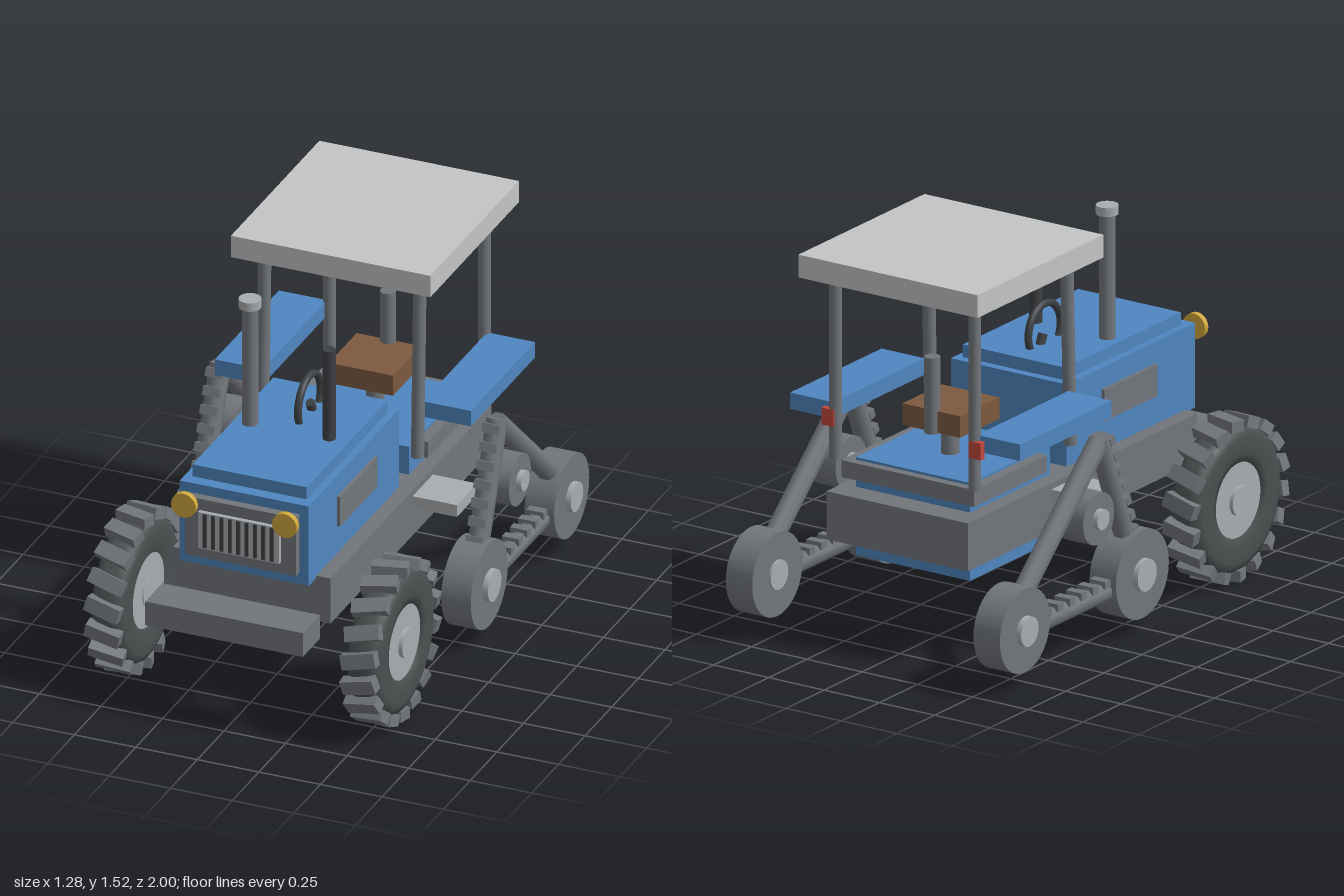
import * as THREE from 'three';

const mat = (name, color) => {
  const m = new THREE.MeshStandardMaterial({ color });
  m.name = name;
  return m;
};

export function createModel() {
  const root = new THREE.Group();
  root.name = 'tractor';
  const blue = mat('blue paint', 0x4f86c0);
  const grey = mat('chassis grey', 0x72767b);
  const light = mat('light grey', 0xc3c4c4);
  const metal = mat('bare metal', 0xa9adb0);
  const rubber = mat('tyre rubber', 0x4b4f50);
  const dark = mat('dark steel', 0x3d4043);
  const gold = mat('lamp gold', 0xcfa73c);
  const red = mat('tail lamp red', 0xc2483c);
  const brown = mat('seat brown', 0x7d5a3f);

  const add = (parent, name, geometry, material) => {
    const m = new THREE.Mesh(geometry, material);
    m.name = name;
    parent.add(m);
    return m;
  };
  // Box from its min and max on each axis
  const box = (name, material, [x0, x1], [y0, y1], [z0, z1], parent = root) => {
    const m = add(parent, name, new THREE.BoxGeometry(x1 - x0, y1 - y0, z1 - z0), material);
    m.position.set((x0 + x1) / 2, (y0 + y1) / 2, (z0 + z1) / 2);
    return m;
  };
  // Cylinder between two points
  const rod = (name, material, a, b, r, sides = 20, parent = root) => {
    const p = new THREE.Vector3(...a), q = new THREE.Vector3(...b);
    const d = q.clone().sub(p);
    const m = add(parent, name, new THREE.CylinderGeometry(r, r, d.length(), sides), material);
    m.position.copy(p).add(q).multiplyScalar(0.5);
    m.quaternion.setFromUnitVectors(new THREE.Vector3(0, 1, 0), d.normalize());
    return m;
  };

  // Chassis and body
  box('chassis', grey, [-0.32, 0.32], [0.4, 0.59], [-0.77, 0.74]);
  box('frontBumper', grey, [-0.32, 0.32], [0.385, 0.485], [0.84, 1.0]);
  box('rearBody', blue, [-0.258, 0.258], [0.32, 0.707], [-0.665, -0.14]);
  box('rearDeck', grey, [-0.3, 0.3], [0.63, 0.697], [-0.7, -0.22]);
  box('hood', blue, [-0.262, 0.262], [0.58, 0.915], [-0.035, 0.81]);
  box('hoodCap', blue, [-0.232, 0.232], [0.915, 0.965], [0, 0.76]);

  // Grille
  box('grilleFrame', grey, [-0.225, 0.225], [0.63, 0.875], [0.81, 0.845]);
  box('grillePanel', metal, [-0.165, 0.165], [0.677, 0.828], [0.845, 0.863]);
  for (let i = 0; i < 9; i++) {
    const x = -0.136 + i * 0.034;
    box('grilleSlat', dark, [x - 0.007, x + 0.007], [0.685, 0.825], [0.863, 0.87]);
  }

  // Exhaust stack and intake pipe
  rod('exhaustStack', grey, [-0.167, 0.95, 0.37], [-0.167, 1.46, 0.37], 0.031);
  rod('exhaustCap', metal, [-0.167, 1.455, 0.37], [-0.167, 1.49, 0.37], 0.043);
  rod('intakePipe', dark, [0.153, 0.95, 0.365], [0.153, 1.34, 0.365], 0.025);

  // Steering wheel, standing in the lengthwise plane
  const wheelRim = add(root, 'steeringWheel', new THREE.TorusGeometry(0.106, 0.015, 10, 32), dark);
  wheelRim.rotation.y = Math.PI / 2;
  wheelRim.position.set(0, 1.01, 0.2);
  rod('steeringColumn', dark, [0, 0.93, 0.16], [0, 1.0, 0.19], 0.018, 12);

  // Seat
  box('seat', brown, [-0.13, 0.13], [0.825, 0.91], [-0.545, -0.285]);
  rod('seatPedestal', grey, [0, 0.7, -0.42], [0, 0.83, -0.42], 0.035);
  rod('seatPost', grey, [0, 0.82, -0.538], [0, 1.12, -0.538], 0.03);

  // Canopy
  box('roof', light, [-0.405, 0.405], [1.435, 1.525], [-0.83, 0]);
  for (const z of [-0.11, -0.717])
    rod('roofCrossbar', dark, [-0.315, 1.42, z], [0.315, 1.42, z], 0.012, 12);

  // Lathed tyre with angled lugs
  const tyreProfile = [
    [0.145, -0.055], [0.18, -0.066], [0.245, -0.068], [0.277, -0.055], [0.287, -0.025],
    [0.287, 0.025], [0.277, 0.055], [0.245, 0.068], [0.18, 0.066], [0.145, 0.055], [0.145, -0.055],
  ].map(p => new THREE.Vector2(...p));
  const makeFrontWheel = (side) => {
    const g = new THREE.Group();
    g.name = 'frontWheel';
    const tyre = add(g, 'tyre', new THREE.LatheGeometry(tyreProfile, 40), rubber);
    tyre.rotation.z = -Math.PI / 2;
    const n = 18;
    for (let i = 0; i < n; i++) {
      const spin = new THREE.Group();
      spin.name = 'lugMount';
      spin.rotation.x = (i / n) * Math.PI * 2;
      const lug = add(spin, 'tyreLug', new THREE.BoxGeometry(0.138, 0.045, 0.058), grey);
      lug.position.y = 0.297;
      lug.rotation.y = side * 0.25;
      g.add(spin);
    }
    rod('wheelRim', metal, [-0.056, 0, 0], [0.056, 0, 0], 0.147, 32, g);
    rod('wheelHub', metal, [-0.06, 0, 0], [0.072, 0, 0], 0.058, 24, g);
    g.scale.x = 1;
    if (side < 0) g.rotation.y = Math.PI;
    g.position.set(side * 0.52, 0.326, 0.637);
    return g;
  };

  // Octagonal track bar in the yz plane, with optional lugs on its upper face
  const trackBar = (parent, x, [y0, z0], [y1, z1], lugs) => {
    const bar = rod('trackBar', grey, [x, y0, z0], [x, y1, z1], 0.041, 8, parent);
    bar.geometry.rotateY(Math.PI / 8);
    const len = Math.hypot(y1 - y0, z1 - z0);
    for (let i = 0; i < lugs; i++) {
      const lug = add(bar, 'trackLug', new THREE.BoxGeometry(0.07, 0.036, 0.03), grey);
      lug.position.set(0, ((i + 0.5) / lugs - 0.5) * len, 0.038);
    }
  };

  for (const s of [-1, 1]) {
    const span = (a, b) => (s > 0 ? [a, b] : [-b, -a]);

    // Hood sides, lamps, fenders and steps
    box('hoodSidePanel', grey, span(0.262, 0.275), [0.705, 0.83], [0.195, 0.545]);
    rod('headlight', gold, [s * 0.205, 0.868, 0.885], [s * 0.205, 0.868, 0.908], 0.05, 28);
    box('fender', blue, span(0.325, 0.52), [0.86, 0.925], [-0.717, -0.115]);
    box('tailLamp', red, span(0.305, 0.36), [0.838, 0.905], [-0.743, -0.717]);
    box('step', metal, span(0.32, 0.5), [0.515, 0.565], [-0.22, -0.03]);

    // Canopy posts
    rod('frontPost', grey, [s * 0.315, 0.705, -0.088], [s * 0.315, 1.437, -0.111], 0.025);
    rod('rearPost', grey, [s * 0.315, 0.705, -0.717], [s * 0.315, 1.437, -0.717], 0.024);

    root.add(makeFrontWheel(s));

    // Triangular rear track unit
    const track = new THREE.Group();
    track.name = 'rearTrack';
    root.add(track);
    for (const [name, y, z, r, hub] of [
      ['frontIdler', 0.243, -0.057, 0.174, 0.063],
      ['rearIdler', 0.243, -0.83, 0.165, 0.058],
      ['driveSprocket', 0.545, -0.345, 0.102, 0.04],
    ]) {
      rod(name, grey, [s * 0.5, y, z], [s * 0.62, y, z], r, 36, track);
      rod(name + 'Hub', metal, [s * 0.49, y, z], [s * 0.642, y, z], hub, 24, track);
    }
    const x = s * 0.562;
    trackBar(track, x, [0.3, -0.055], [0.83, -0.265], 8);
    trackBar(track, x, [0.815, -0.262], [0.3, -0.83], 0);
    trackBar(track, x, [0.215, -0.06], [0.215, -0.83], 10);
  }
  return root;
}
